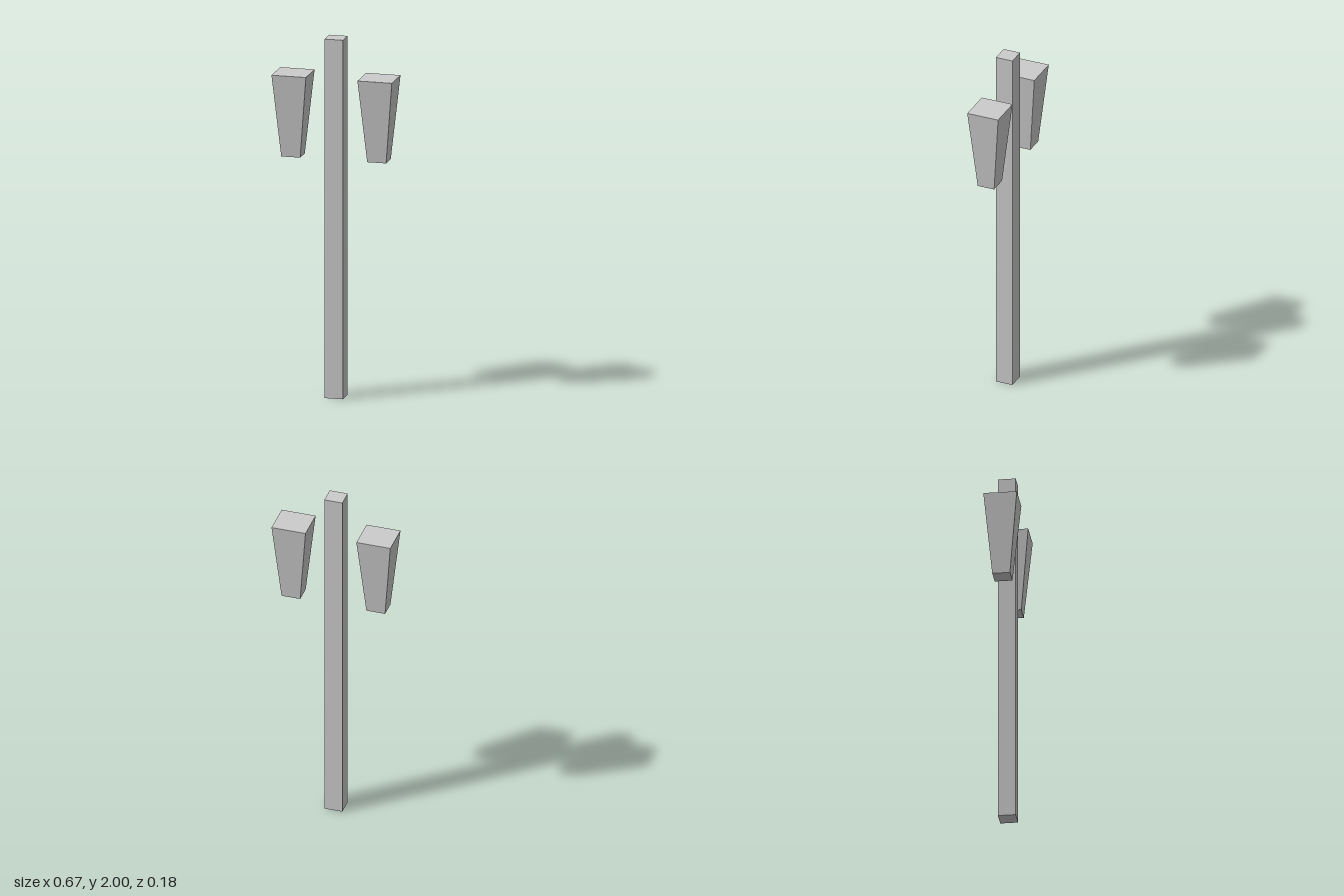
import * as THREE from 'three';

const material = new THREE.MeshStandardMaterial({ color: 0xcccccc, flatShading: true });

// Box standing on y = 0 whose base is scaled relative to its top
function taperedBox(width, height, depth, baseX, baseZ) {
  const geometry = new THREE.BoxGeometry(width, height, depth).translate(0, height / 2, 0);
  const p = geometry.attributes.position;
  for (let i = 0; i < p.count; i++) {
    const t = p.getY(i) / height;
    p.setX(i, p.getX(i) * THREE.MathUtils.lerp(baseX, 1, t));
    p.setZ(i, p.getZ(i) * THREE.MathUtils.lerp(baseZ, 1, t));
  }
  geometry.computeVertexNormals();
  return geometry;
}

export function createModel() {
  const model = new THREE.Group();
  model.name = 'lampPost';

  // Square post
  const post = new THREE.Mesh(new THREE.BoxGeometry(0.102, 2, 0.097), material);
  post.name = 'post';
  post.position.y = 1;
  model.add(post);

  // Tapered lantern floating on each side of the post
  const lanternGeometry = taperedBox(0.192, 0.46, 0.182, 0.55, 0.53);
  for (const side of [1, -1]) {
    const lantern = new THREE.Mesh(lanternGeometry, material);
    lantern.name = side > 0 ? 'leftLantern' : 'rightLantern';
    lantern.position.set(side * 0.24, 1.33, 0);
    model.add(lantern);
  }

  return model;
}
